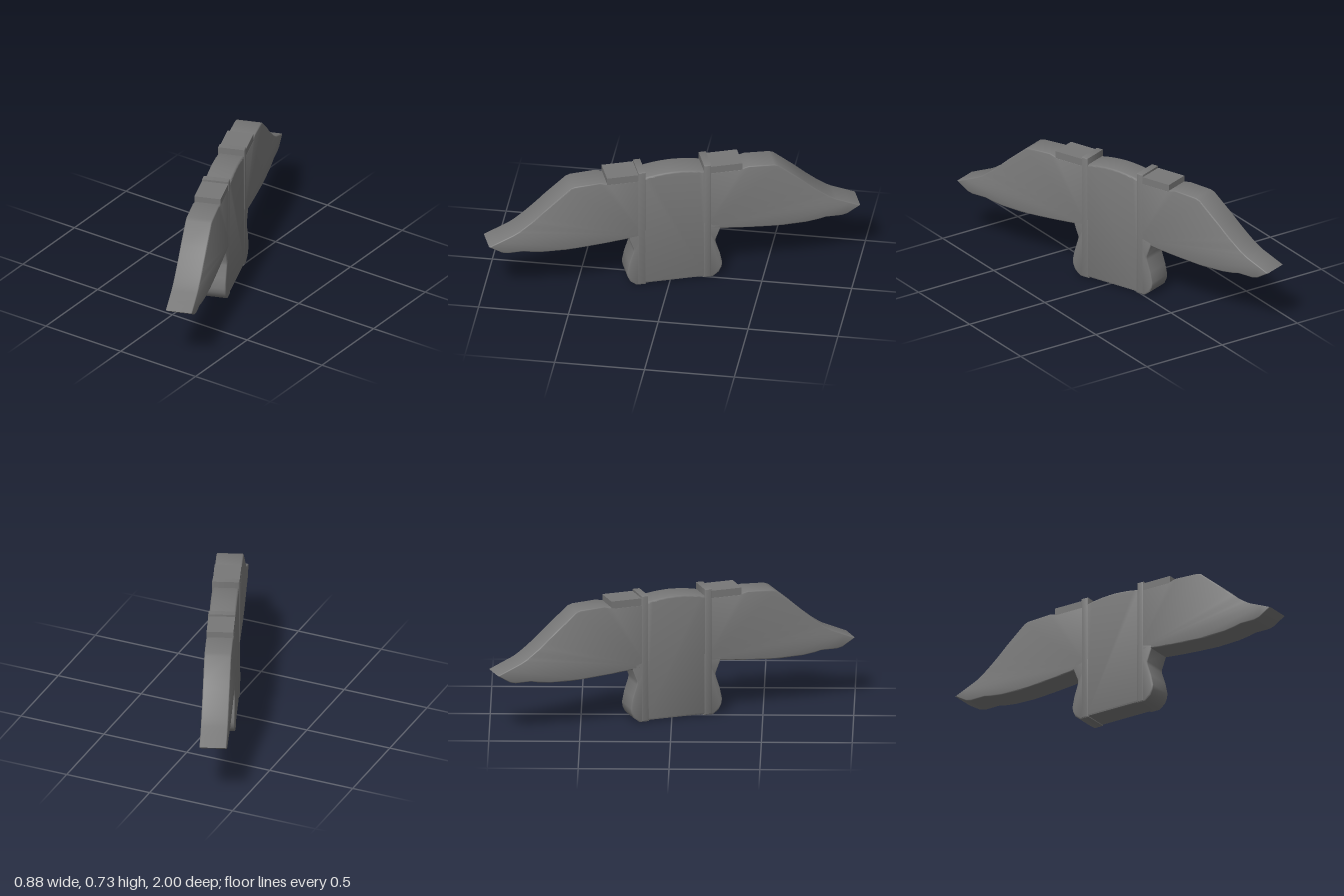
import * as THREE from 'three';
import { toCreasedNormals } from 'three/addons/utils/BufferGeometryUtils.js';

const THICK = 0.149;
const mat = new THREE.MeshStandardMaterial({ color: 0x787878 });

// Slab with softened edges, cut from an outline in the length/height plane
function slab(name, shape, depth, bevel) {
  const geo = new THREE.ExtrudeGeometry(shape, {
    depth: depth - 2 * bevel, bevelEnabled: bevel > 0, bevelSize: bevel, bevelThickness: bevel,
    bevelOffset: -bevel, bevelSegments: 2, curveSegments: 8,
  });
  geo.translate(0, 0, -depth / 2 + bevel);
  const mesh = new THREE.Mesh(toCreasedNormals(geo, 0.95), mat);
  mesh.name = name;
  return mesh;
}

const outline = (pts) => new THREE.Shape(pts.map(([x, y]) => new THREE.Vector2(x, y)));
const rect = (x0, x1, y0, y1) => outline([[x0, y0], [x1, y0], [x1, y1], [x0, y1]]);

// One half: wing, foot, collar rib and shoulder block
function createSide(name) {
  const side = new THREE.Group();
  side.name = name;

  const wing = new THREE.Shape();
  wing.moveTo(0.17, 0.32);
  wing.lineTo(0.26, 0.31);
  wing.quadraticCurveTo(0.42, 0.292, 0.61, 0.283);
  wing.lineTo(0.74, 0.287);
  wing.lineTo(0.81, 0.296);
  wing.lineTo(0.85, 0.305);
  wing.lineTo(0.94, 0.304);
  wing.lineTo(0.972, 0.312);
  wing.lineTo(1.044, 0.357);
  wing.lineTo(0.98, 0.385);
  wing.lineTo(0.91, 0.415);
  wing.quadraticCurveTo(0.84, 0.45, 0.70, 0.58);
  wing.lineTo(0.585, 0.676);
  wing.lineTo(0.56, 0.685);
  wing.lineTo(0.42, 0.692);
  wing.lineTo(0.37, 0.68);
  wing.lineTo(0.17, 0.68);
  side.add(slab('wing', wing, THICK, 0.006));

  const foot = outline([
    [0.16, 0.003], [0.215, 0.003], [0.25, 0.03], [0.264, 0.06], [0.268, 0.088],
    [0.255, 0.15], [0.232, 0.22], [0.23, 0.24], [0.265, 0.33], [0.16, 0.36],
  ]);
  side.add(slab('foot', foot, THICK, 0.006));

  side.add(slab('collarRib', rect(0.165, 0.205, 0.006, 0.729), THICK + 0.002, 0.004));
  side.add(slab('shoulderBlock', rect(0.19, 0.381, 0.67, 0.717), THICK - 0.001, 0));
  return side;
}

export function createModel() {
  const model = new THREE.Group();
  model.name = 'wingedFigure';

  // Central body with a gently domed top
  const body = new THREE.Shape();
  body.moveTo(-0.18, 0.008);
  body.lineTo(0.18, 0.008);
  body.lineTo(0.18, 0.688);
  body.quadraticCurveTo(0.1, 0.708, 0, 0.71);
  body.quadraticCurveTo(-0.1, 0.708, -0.18, 0.688);
  model.add(slab('body', body, THICK - 0.002, 0.01));

  // Matching halves on either end
  const left = createSide('leftSide');
  const right = createSide('rightSide');
  right.rotation.y = Math.PI;
  model.add(left, right);

  // The whole slab stands turned about the vertical
  model.rotation.y = -THREE.MathUtils.degToRad(69.2);
  const root = new THREE.Group();
  root.name = 'model';
  root.add(model);
  root.position.y = -0.003;
  return root;
}
